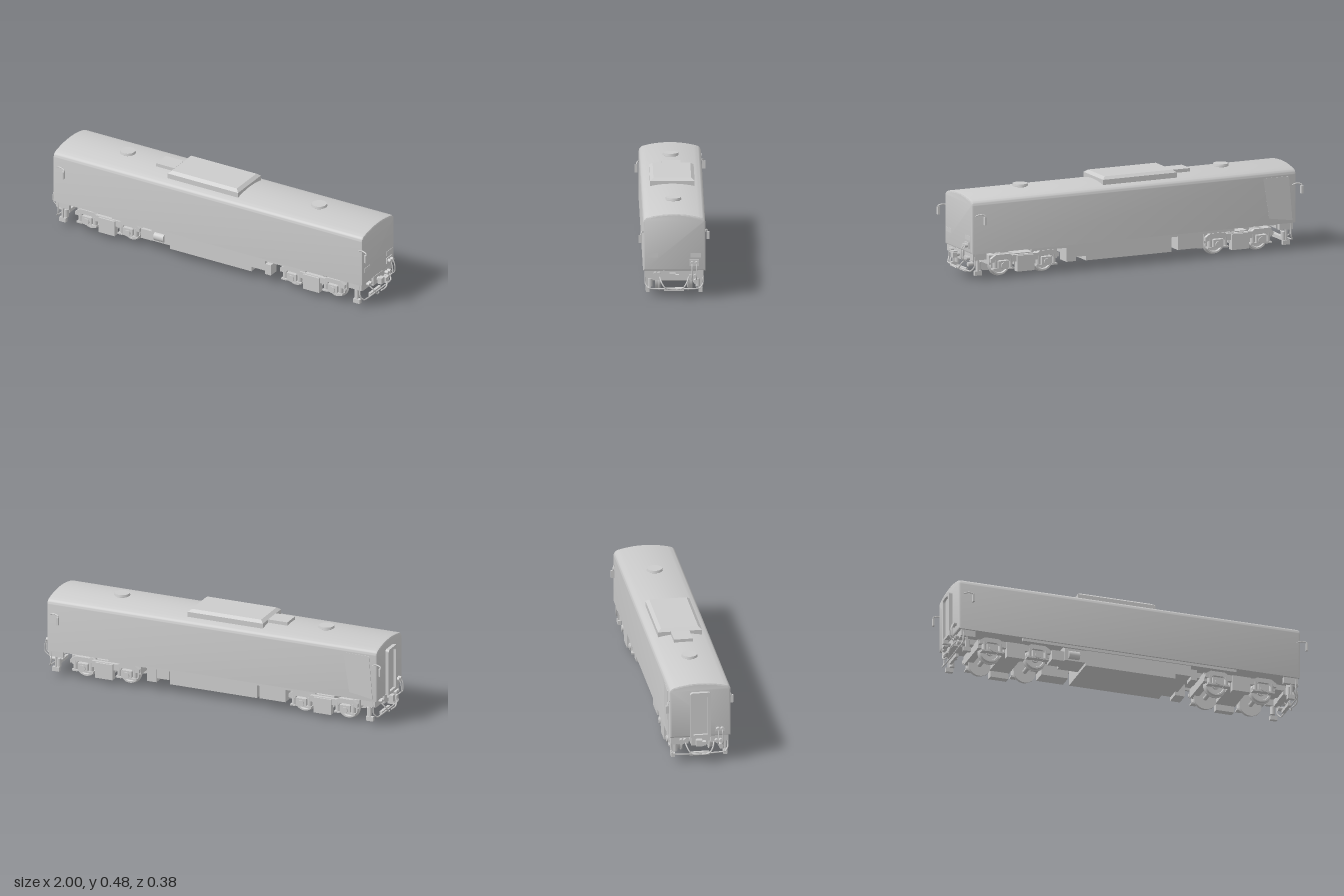
import * as THREE from 'three';
import { toCreasedNormals } from 'three/addons/utils/BufferGeometryUtils.js';

const grey = new THREE.MeshStandardMaterial({ color: 0xcccccc, side: THREE.DoubleSide });

function add(parent, name, geo, x = 0, y = 0, z = 0) {
  const m = new THREE.Mesh(geo, grey);
  m.name = name;
  m.position.set(x, y, z);
  parent.add(m);
  return m;
}
// Box given by its limits on each axis
function box(parent, name, x0, x1, y0, y1, z0, z1) {
  return add(parent, name, new THREE.BoxGeometry(x1 - x0, y1 - y0, z1 - z0),
    (x0 + x1) / 2, (y0 + y1) / 2, (z0 + z1) / 2);
}
function cyl(parent, name, r, len, axis, x, y, z, r2 = r) {
  const g = new THREE.CylinderGeometry(r2, r, len, 24);
  if (axis === 'x') g.rotateZ(-Math.PI / 2);
  if (axis === 'z') g.rotateX(Math.PI / 2);
  return add(parent, name, g, x, y, z);
}
function tube(parent, name, pts, r = 0.003, tension = 0.5) {
  const c = new THREE.CatmullRomCurve3(pts.map(p => new THREE.Vector3(...p)), false, 'catmullrom', tension);
  return add(parent, name, new THREE.TubeGeometry(c, 32, r, 8));
}
const shapeOf = pts => new THREE.Shape(pts.map(p => new THREE.Vector2(...p)));

// Body shell: arched cross-section run along x with softened ends
function buildBody(g) {
  const s = new THREE.Shape();
  s.moveTo(-0.155, 0.155);
  s.lineTo(0.155, 0.155);
  s.lineTo(0.155, 0.406);
  s.quadraticCurveTo(0.154, 0.421, 0.138, 0.426);
  s.quadraticCurveTo(0.07, 0.444, 0, 0.444);
  s.quadraticCurveTo(-0.07, 0.444, -0.138, 0.426);
  s.quadraticCurveTo(-0.154, 0.421, -0.155, 0.406);
  const geo = new THREE.ExtrudeGeometry(s, {
    depth: 1.891, bevelEnabled: true, bevelSize: 0.01, bevelThickness: 0.012, bevelSegments: 2, curveSegments: 10,
  });
  geo.rotateY(Math.PI / 2).translate(-0.948, 0, 0);
  add(g, 'bodyShell', toCreasedNormals(geo, 0.5));
  // Slanted side door near the -x end
  const door = new THREE.ExtrudeGeometry(
    shapeOf([[-0.80, 0.18], [-0.935, 0.16], [-0.915, 0.40], [-0.765, 0.40]]), { depth: 0.004, bevelEnabled: false });
  const p = door.attributes.position;
  for (let i = 0; i < p.count; i++)
    p.setZ(i, p.getZ(i) > 0.002 ? -0.16 : -0.165 - 0.004 * (-0.765 - p.getX(i)) / 0.17);
  door.computeVertexNormals();
  add(g, 'sideDoor', door);
}

function buildRoof(g) {
  // Hatch with sloped edges
  const hatch = new THREE.ExtrudeGeometry(shapeOf([[-0.26, -0.1], [0.14, -0.1], [0.14, 0.1], [-0.26, 0.1]]),
    { depth: 0.05, bevelEnabled: true, bevelSize: 0.018, bevelThickness: 0.014, bevelSegments: 1 });
  hatch.rotateX(-Math.PI / 2);
  add(g, 'roofHatch', hatch, 0, 0.419, 0);
  box(g, 'roofBox', -0.39, -0.278, 0.42, 0.47, -0.05, 0.05);
  for (const x of [-0.595, 0.59]) {
    cyl(g, 'roofVentBase', 0.036, 0.03, 'y', x, 0.445, 0);
    cyl(g, 'roofVentCap', 0.043, 0.012, 'y', x, 0.464, 0, 0.04);
  }
}

function buildBogie() {
  const b = new THREE.Group();
  b.name = 'bogie';
  const wheelProfile = [[0.012, -0.013], [0.062, -0.013], [0.062, -0.007], [0.056, -0.003], [0.055, 0.015],
    [0.046, 0.015], [0.042, 0.007], [0.02, 0.006], [0.018, 0.014], [0.001, 0.014]];
  const wheelGeo = toCreasedNormals(
    new THREE.LatheGeometry(wheelProfile.map(p => new THREE.Vector2(...p)), 32).rotateX(Math.PI / 2), 0.5);
  const sideFrame = new THREE.ExtrudeGeometry(shapeOf([
    [-0.2, 0.085], [-0.165, 0.085], [-0.155, 0.1], [-0.1, 0.1], [-0.085, 0.08], [0.085, 0.08], [0.1, 0.1],
    [0.155, 0.1], [0.165, 0.085], [0.2, 0.085], [0.2, 0.105], [0.17, 0.125], [0.09, 0.125], [0.075, 0.115],
    [-0.075, 0.115], [-0.09, 0.125], [-0.17, 0.125], [-0.2, 0.105]]), { depth: 0.02, bevelEnabled: false });
  for (const x of [-0.127, 0.127]) {
    cyl(b, 'axle', 0.012, 0.27, 'z', x, 0.062, 0);
    for (const s of [-1, 1]) {
      add(b, 'wheel', wheelGeo, x, 0.062, s * 0.085).rotation.y = s < 0 ? Math.PI : 0;
      box(b, 'axleBox', x - 0.03, x + 0.03, 0.045, 0.09, s * 0.13 - 0.014, s * 0.13 + 0.014);
      cyl(b, 'axleCap', 0.018, 0.008, 'z', x, 0.064, s * 0.147);
      for (const dx of [-0.045, 0.045]) {
        cyl(b, 'spring', 0.013, 0.05, 'y', x + dx, 0.075, s * 0.128);
        box(b, 'springSeat', x + dx - 0.016, x + dx + 0.016, 0.043, 0.052, s * 0.13 - 0.016, s * 0.13 + 0.016);
      }
    }
  }
  for (const s of [-1, 1]) {
    add(b, 'sideFrame', sideFrame, 0, 0, s * 0.13 - 0.01);
    box(b, 'sideBox', -0.05, 0.05, 0.026, 0.112, s * 0.133 - 0.018, s * 0.133 + 0.018);
    box(b, 'endBox', s * 0.18 - 0.02, s * 0.18 + 0.02, 0.07, 0.12, -0.115, 0.115);
  }
  box(b, 'bolster', -0.055, 0.055, 0.06, 0.12, -0.12, 0.12);
  cyl(b, 'pivot', 0.04, 0.06, 'y', 0, 0.13, 0);
  return b;
}

function buildUnderframe(g) {
  box(g, 'tank', -0.245, 0.26, 0.043, 0.15, -0.12, 0.15);
  box(g, 'tankEquipment', 0.26, 0.345, 0.07, 0.15, -0.13, 0.15);
  box(g, 'batteryBox', 0.345, 0.38, 0.05, 0.11, 0.09, 0.15);
  box(g, 'batteryBox', 0.33, 0.385, 0.05, 0.15, -0.14, -0.06);
  box(g, 'equipmentBox', -0.36, -0.245, 0.06, 0.15, 0.02, 0.145);
  box(g, 'equipmentBox', -0.43, -0.36, 0.055, 0.11, 0.06, 0.14);
  box(g, 'equipmentBox', -0.42, -0.27, 0.055, 0.15, -0.145, -0.06);
  cyl(g, 'airTank', 0.024, 0.06, 'x', -0.31, 0.092, 0.14);
  box(g, 'centreSill', -0.94, 0.94, 0.115, 0.15, -0.05, 0.05);
  for (const s of [-1, 1]) {
    // Side sill trim between the bogies and skirt at each end
    box(g, 'sideSill', -0.6, 0.6, 0.13, 0.15, s * 0.15 - 0.006, s * 0.15 + 0.006);
    for (const e of [-1, 1]) box(g, 'endSkirt', e * 0.905 - 0.04, e * 0.905 + 0.04, 0.11, 0.15, s * 0.145 - 0.01, s * 0.145 + 0.01);
  }
}

// Fittings at one end, built facing +x
function buildEnd() {
  const e = new THREE.Group();
  e.name = 'endFittings';
  box(e, 'couplerPocket', 0.9, 0.952, 0.095, 0.146, -0.046, 0.046);
  cyl(e, 'couplerShank', 0.012, 0.04, 'x', 0.96, 0.12, 0);
  box(e, 'couplerHead', 0.965, 0.99, 0.103, 0.138, -0.008, 0.025);
  box(e, 'couplerJaw', 0.975, 1.0, 0.11, 0.132, -0.026, -0.004);
  box(e, 'railGuard', 0.925, 0.94, 0.032, 0.05, -0.053, 0.053);
  tube(e, 'guardRail', [[0.93, 0.15, 0.152], [0.935, 0.075, 0.153], [0.95, 0.05, 0.135], [0.95, 0.046, 0.06],
    [0.95, 0.046, -0.06], [0.95, 0.05, -0.135], [0.935, 0.075, -0.153], [0.93, 0.15, -0.152]], 0.004, 0.2);
  for (const s of [-1, 1]) {
    box(e, 'step', 0.89, 0.93, 0.026, 0.05, s * 0.14 - 0.01, s * 0.14 + 0.01);
    box(e, 'stepHanger', 0.905, 0.915, 0.045, 0.15, s * 0.143 - 0.006, s * 0.143 + 0.006);
    cyl(e, 'airCylinder', 0.014, 0.045, 'y', 0.9, 0.073, s * 0.127);
    box(e, 'endBeam', 0.91, 0.945, 0.105, 0.146, s * 0.1 - 0.04, s * 0.1 + 0.04);
    box(e, 'lampPanel', 0.953, 0.957, 0.217, 0.241, s * 0.114 - 0.028, s * 0.114 + 0.028);
    tube(e, 'brakeHose', [[0.945, 0.11, s * 0.077], [0.97, 0.08, s * 0.065], [0.975, 0.055, s * 0.045], [0.965, 0.046, s * 0.01]], 0.004);
    // Corner mirror on a bent arm
    const x = s > 0 ? 0.985 : 0.885;
    tube(e, 'mirrorArm', [[0.935, 0.35, s * 0.163], [(0.935 + x) / 2, 0.358, s * 0.17], [x, 0.352, s * 0.176], [x, 0.335, s * 0.179]], 0.004);
    box(e, 'mirror', x - 0.005, x + 0.005, 0.303, 0.345, s * 0.18 - 0.009, s * 0.18 + 0.009);
  }
  // Jumper sockets with hanging cables
  box(e, 'socketPlate', 0.95, 0.96, 0.172, 0.205, -0.132, -0.08);
  for (const z of [-0.095, -0.118]) {
    cyl(e, 'socket', 0.01, 0.02, 'x', 0.967, 0.188, z);
    tube(e, 'jumperCable', [[0.975, 0.186, z], [0.985, 0.16, z], [0.985, 0.12, z], [0.965, 0.1, z]], 0.003);
    cyl(e, 'lowerSocket', 0.01, 0.02, 'x', 0.955, 0.117, z + 0.006);
  }
  for (const z of [0.08, 0.1]) cyl(e, 'airValve', 0.009, 0.02, 'x', 0.953, 0.13, z);
  cyl(e, 'horn', 0.012, 0.03, 'x', 0.94, 0.085, -0.113);
  return e;
}

// Gangway door frame on the -x end
function buildGangway(g) {
  const rect = (C, w, y0, y1) => {
    const p = new C();
    p.moveTo(-w, y0); p.lineTo(w, y0); p.lineTo(w, y1 - 0.015);
    p.quadraticCurveTo(w, y1, w - 0.015, y1); p.lineTo(-w + 0.015, y1);
    p.quadraticCurveTo(-w, y1, -w, y1 - 0.015);
    return p;
  };
  const s = rect(THREE.Shape, 0.055, 0.15, 0.405);
  s.holes.push(rect(THREE.Path, 0.038, 0.165, 0.39));
  const geo = new THREE.ExtrudeGeometry(s, { depth: 0.022, bevelEnabled: false, curveSegments: 6 });
  geo.rotateY(Math.PI / 2);
  add(g, 'gangwayFrame', geo, -0.98, 0, 0);
  box(g, 'gangwayDoor', -0.966, -0.955, 0.165, 0.39, -0.038, 0.038);
}

export function createModel() {
  const g = new THREE.Group();
  g.name = 'railCar';
  buildBody(g);
  buildRoof(g);
  buildUnderframe(g);
  buildGangway(g);
  for (const x of [-0.637, 0.63]) {
    const b = buildBogie();
    b.position.x = x;
    g.add(b);
  }
  const near = buildEnd(), far = buildEnd();
  far.rotation.y = Math.PI;
  g.add(near, far);
  return g;
}
